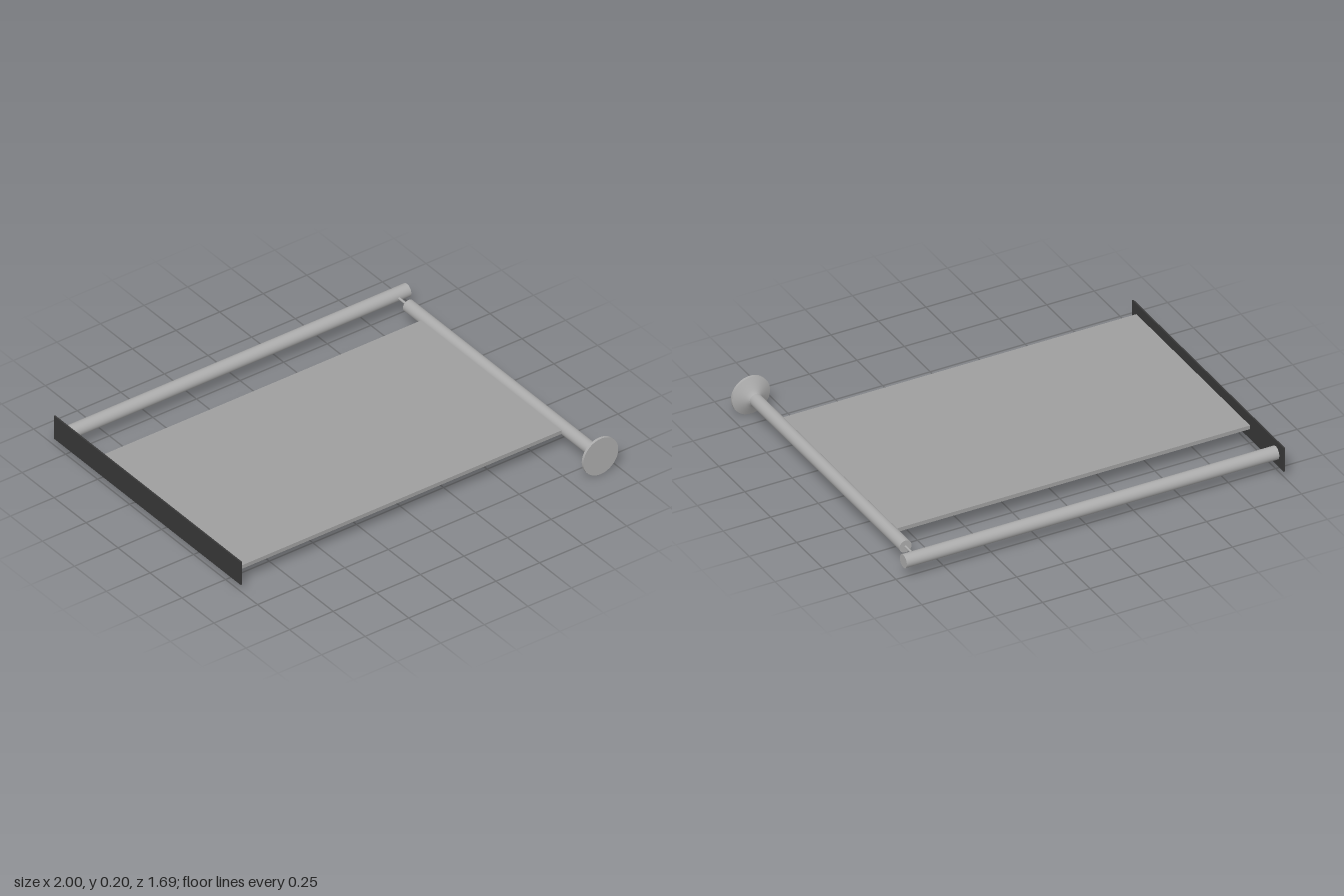
import * as THREE from 'three';

const AXIS_Y = 0.1; // shared height of every rod and the panel

export function createModel() {
  const group = new THREE.Group();
  const metal = new THREE.MeshStandardMaterial({ color: 0xababab });
  const sheet = new THREE.MeshStandardMaterial({ color: 0x9e9e9e });
  const dark = new THREE.MeshStandardMaterial({ color: 0x383838 });

  const add = (name, geometry, material, x, z) => {
    const mesh = new THREE.Mesh(geometry, material);
    mesh.name = name;
    mesh.position.set(x, AXIS_Y, z);
    group.add(mesh);
  };

  // Cylinder between two coordinates along x or z, placed at "across" on the other axis
  const rod = (name, axis, radius, from, to, across) => {
    const geometry = new THREE.CylinderGeometry(radius, radius, to - from, 48);
    const mid = (from + to) / 2;
    if (axis === 'x') add(name, geometry.rotateZ(-Math.PI / 2), metal, mid, across);
    else add(name, geometry.rotateX(Math.PI / 2), metal, across, mid);
  };

  // Dark mounting plate on the right edge
  add('mountingPlate', new THREE.BoxGeometry(0.008, 0.128, 1.462), dark, -0.996, -0.112);

  // Flat panel between plate and pole
  add('panel', new THREE.BoxGeometry(1.89, 0.02, 1.097), sheet, -0.05, 0.03);

  // Back arm, front-to-back pole and the thin pin joining them
  rod('backArm', 'x', 0.034, -0.995, 0.97, -0.767);
  rod('pole', 'z', 0.032, -0.66, 0.8, 0.9);
  rod('connectingPin', 'z', 0.006, -0.76, -0.64, 0.9);

  // Flared foot at the front end of the pole; profile runs from neck to rim
  const flare = new THREE.LatheGeometry([
    [0.032, 0.785], [0.037, 0.794], [0.05, 0.803], [0.072, 0.816], [0.1, 0.83],
  ].map(([r, z]) => new THREE.Vector2(r, z)), 48);
  add('footFlare', flare.rotateX(Math.PI / 2), metal, 0.9, 0);
  rod('footDisc', 'z', 0.1, 0.83, 0.843, 0.9);

  return group;
}
